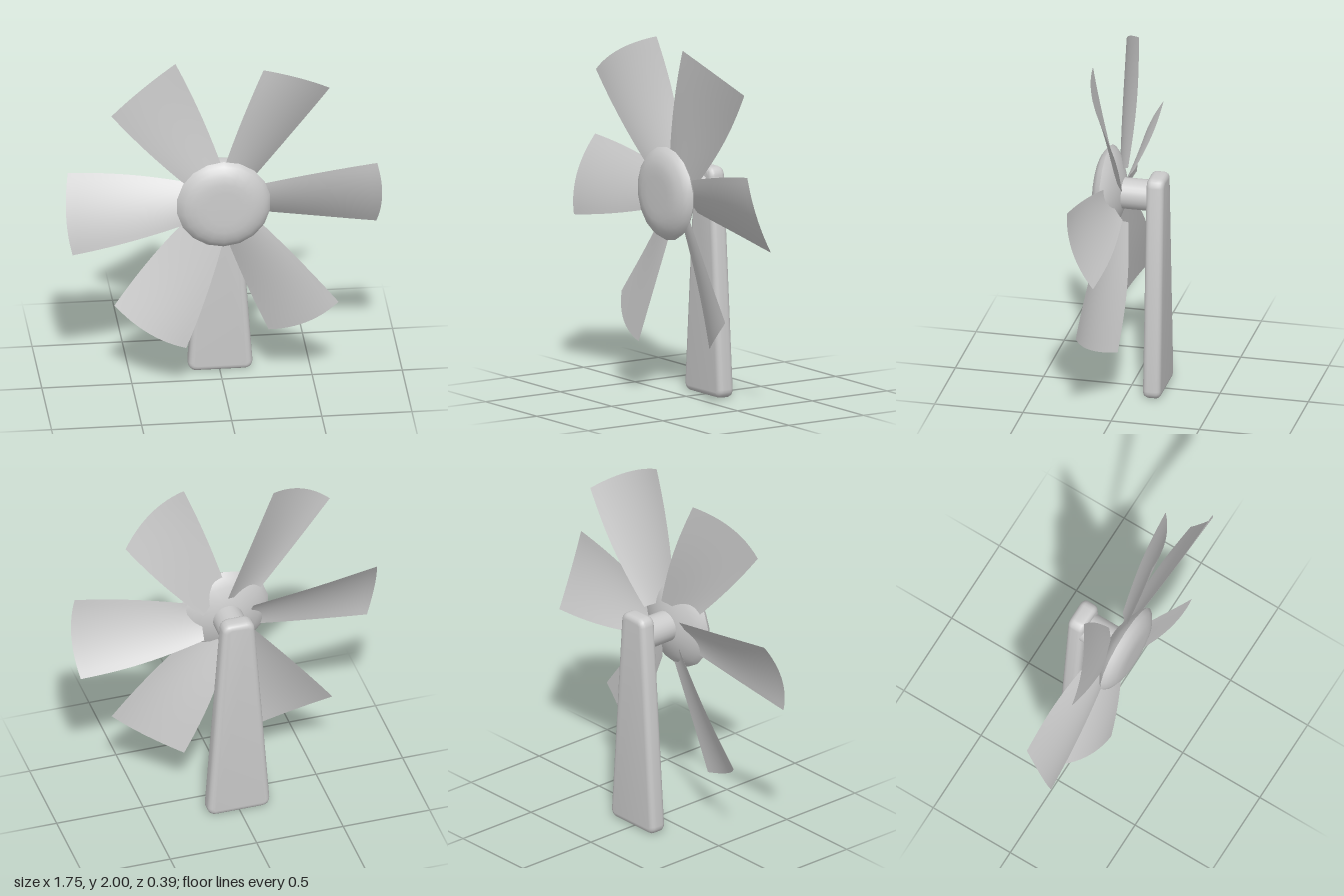
import * as THREE from 'three';
import { toCreasedNormals } from 'three/addons/utils/BufferGeometryUtils.js';

const material = new THREE.MeshStandardMaterial({ color: 0xcccccc });
const thinMaterial = new THREE.MeshStandardMaterial({ color: 0xcccccc, side: THREE.DoubleSide });
const HUB_Y = 1.155;
const BLADE_Y = 1.145;
const BLADES = 6;

function addMesh(parent, name, geometry, mat = material) {
  const mesh = new THREE.Mesh(geometry, mat);
  mesh.name = name;
  parent.add(mesh);
  return mesh;
}

// Closed shape through the given corners, each rounded off by radius r.
function roundedShape(corners, r) {
  const shape = new THREE.Shape();
  corners.forEach((p, i) => {
    const prev = corners[(i + corners.length - 1) % corners.length];
    const next = corners[(i + 1) % corners.length];
    const a = p.clone().add(prev.clone().sub(p).setLength(r));
    const b = p.clone().add(next.clone().sub(p).setLength(r));
    if (i === 0) shape.moveTo(a.x, a.y);
    else shape.lineTo(a.x, a.y);
    shape.quadraticCurveTo(p.x, p.y, b.x, b.y);
  });
  shape.closePath();
  return shape;
}

// Tapered upright with softened edges
function postGeometry() {
  const b = 0.03;
  const corners = [[-0.18 + b, b], [0.18 - b, b], [0.092 - b, 1.285 - b], [-0.092 + b, 1.285 - b]]
    .map(([x, y]) => new THREE.Vector2(x, y));
  const geometry = new THREE.ExtrudeGeometry(roundedShape(corners, 0.02), {
    depth: 0.1 - 2 * b, bevelEnabled: true, bevelThickness: b, bevelSize: b,
    bevelSegments: 4, curveSegments: 4,
  });
  geometry.translate(0.004, 0, -0.2 + b);
  return toCreasedNormals(geometry, 0.7);
}

// Hub profile from the back to the domed front
function hubGeometry() {
  const profile = [
    [0, 0.04], [0.1, 0.045], [0.19, 0.08], [0.235, 0.105], [0.262, 0.13], [0.243, 0.155],
    [0.22, 0.17], [0.19, 0.184], [0.15, 0.193], [0.1, 0.195], [0, 0.195],
  ].map(([r, z]) => new THREE.Vector2(r, z));
  const geometry = new THREE.LatheGeometry(profile, 18);
  geometry.rotateX(Math.PI / 2);
  return toCreasedNormals(geometry, 0.5);
}

// Pitched, cambered blade pointing along +x, widening towards its tip
function bladeGeometry() {
  const geometry = new THREE.PlaneGeometry(1, 2, 14, 12);
  const pos = geometry.attributes.position;
  const root = 0.14;
  for (let i = 0; i < pos.count; i++) {
    const s = pos.getX(i) + 0.5;
    const v = pos.getY(i);
    const tip = 0.877 - 0.026 * v * v;
    const x = root + (tip - root) * s;
    const halfWidth = 0.092 + 0.17 * s - 0.044 * s * s;
    const lead = 0.1 + 0.11 * s - 0.04 * s * s;
    const trail = 0.02 - 0.02 * Math.sin(Math.PI * s);
    const camber = (0.018 + 0.017 * s) * (1 - v * v);
    const z = THREE.MathUtils.lerp(trail, lead, (v + 1) / 2) + camber;
    pos.setXYZ(i, x, v * halfWidth, z);
  }
  geometry.computeVertexNormals();
  return geometry;
}

export function createModel() {
  const model = new THREE.Group();
  model.name = 'windmillFan';

  addMesh(model, 'post', postGeometry());

  // Axle joining the post to the hub
  const axle = new THREE.CylinderGeometry(0.087, 0.087, 0.2, 24);
  axle.rotateX(Math.PI / 2);
  addMesh(model, 'axle', axle).position.set(-0.005, HUB_Y, -0.03);

  addMesh(model, 'hub', hubGeometry()).position.set(-0.005, HUB_Y, 0);

  // Ring of blades
  const rotor = new THREE.Group();
  rotor.name = 'blades';
  rotor.position.set(-0.002, BLADE_Y, 0);
  const blade = bladeGeometry();
  for (let i = 0; i < BLADES; i++) {
    const mesh = addMesh(rotor, `blade${i + 1}`, blade, thinMaterial);
    mesh.rotation.z = (i * 2 * Math.PI) / BLADES + THREE.MathUtils.degToRad(1.5);
  }
  model.add(rotor);

  return model;
}
